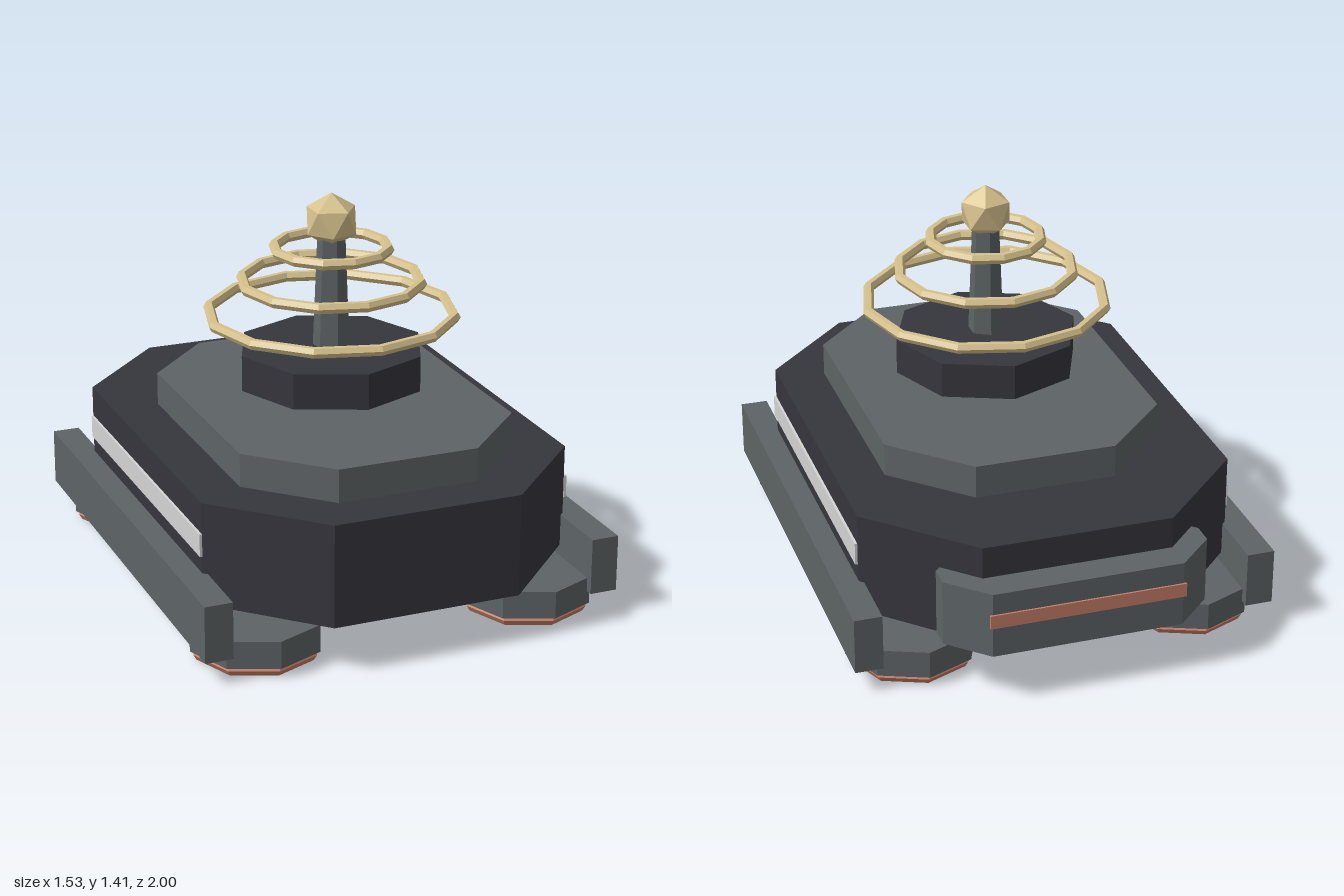
import * as THREE from 'three';

const mat = (name, color) => {
  const m = new THREE.MeshStandardMaterial({ color, flatShading: true });
  m.name = name;
  return m;
};

export function createModel() {
  const model = new THREE.Group();
  model.name = 'hoverCraft';

  const dark = mat('dark hull', 0x36353d);
  const grey = mat('slate grey', 0x5d6365);
  const gold = mat('pale gold', 0xd6c18c);
  const copper = mat('copper', 0xc67e68);
  const white = mat('light strip', 0xd4d4d4);

  const add = (name, geometry, material, x, y, z, parent = model) => {
    const mesh = new THREE.Mesh(geometry, material);
    mesh.name = name;
    mesh.position.set(x, y, z);
    parent.add(mesh);
    return mesh;
  };

  // Upright prism with cut corners: half sizes w, d and half lengths cw, cd of the uncut edges
  const prism = (w, d, cw, cd, height) => {
    const shape = new THREE.Shape([
      [cw, -d], [w, -cd], [w, cd], [cw, d], [-cw, d], [-w, cd], [-w, -cd], [-cw, -d],
    ].map(([x, y]) => new THREE.Vector2(x, y)));
    return new THREE.ExtrudeGeometry(shape, { depth: height, bevelEnabled: false }).rotateX(-Math.PI / 2);
  };
  const ring = (radius, tube, sides) =>
    new THREE.TorusGeometry(radius, tube, 6, sides).rotateX(Math.PI / 2);

  // Hull and deck
  add('hull', prism(0.68, 0.94, 0.34, 0.6, 0.37), dark, 0, 0.175, 0.06);
  add('deck', prism(0.51, 0.685, 0.255, 0.428, 0.12), grey, 0, 0.545, 0.147);

  // Rear engine pod with its glowing slot
  add('rearPod', prism(0.475, 0.17, 0.34, 0.04, 0.24), grey, 0, 0.19, -0.823);
  add('rearSlot', new THREE.BoxGeometry(0.7, 0.05, 0.009), copper, 0, 0.327, -0.9955);

  // Side rails and light strips
  for (const side of [1, -1]) {
    const label = side > 0 ? 'left' : 'right';
    add(label + 'Rail', new THREE.BoxGeometry(0.1, 0.205, 1.705), grey, side * 0.715, 0.1875, 0.0625);
    add(label + 'Strip', new THREE.BoxGeometry(0.009, 0.082, 1.195), white, side * 0.6845, 0.393, 0.066);

    // Hover pads
    for (const z of [0.713, -0.583]) {
      const pad = new THREE.Group();
      pad.name = label + (z > 0 ? 'Front' : 'Rear') + 'Pad';
      pad.position.set(side * 0.51, 0, z);
      model.add(pad);
      add('padBody', new THREE.CylinderGeometry(0.238, 0.238, 0.1, 8), grey, 0, 0.085, 0, pad);
      add('padRing', ring(0.203, 0.023, 8), copper, 0, 0.02, 0, pad);
      add('padCore', new THREE.CylinderGeometry(0.135, 0.135, 0.015, 8), copper, 0, 0.0295, 0, pad);
    }
  }

  // Antenna: floating base, tapered mast, stacked rings and a faceted ball
  const antenna = new THREE.Group();
  antenna.name = 'antenna';
  antenna.position.z = 0.15;
  model.add(antenna);
  add('antennaBase', new THREE.CylinderGeometry(0.34, 0.34, 0.13, 8), dark, 0, 0.785, 0, antenna);
  add('mast', new THREE.CylinderGeometry(0.05, 0.066, 0.41, 6), grey, 0, 1.045, 0, antenna);
  [[0.44, 0.972], [0.32, 1.09], [0.203, 1.21]].forEach(([radius, y], i) =>
    add('antennaRing' + (i + 1), ring(radius, 0.02, 12), gold, 0, y, 0, antenna));
  const ball = new THREE.IcosahedronGeometry(0.1, 0)
    .rotateX(-Math.atan((1 + Math.sqrt(5)) / 2)).rotateY(Math.PI / 2);
  add('antennaBall', ball, gold, 0, 1.31, 0, antenna);

  return model;
}
